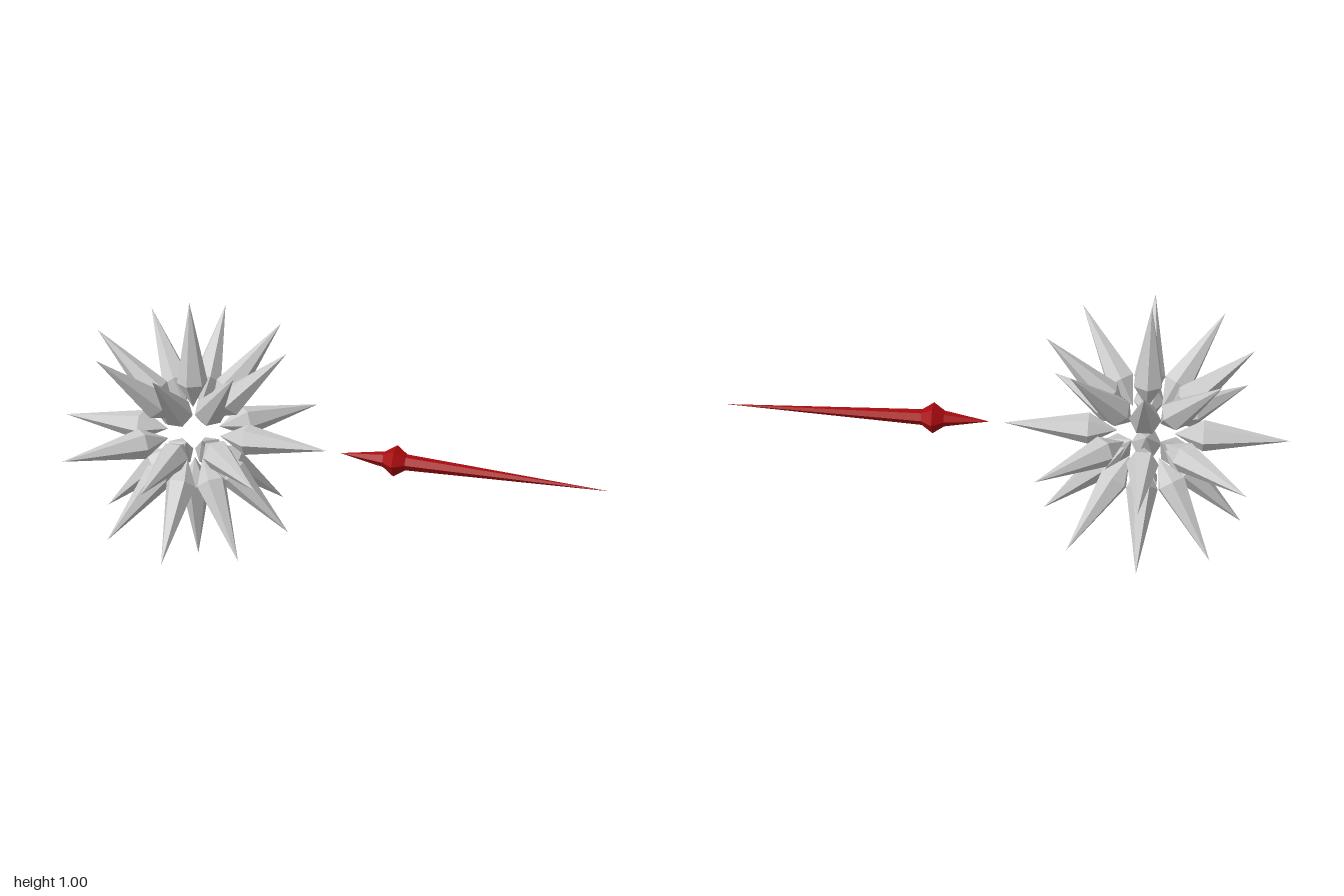
import * as THREE from 'three';

// Six-sided spike along +x from [distance, radius] pairs
function spikeGeometry(profile) {
  const points = profile.map(([along, radius]) => new THREE.Vector2(radius, along));
  return new THREE.LatheGeometry(points, 6).rotateZ(-Math.PI / 2);
}

export function createModel() {
  const model = new THREE.Group();
  const grey = new THREE.MeshStandardMaterial({ color: 0xcccccc, flatShading: true });
  const red = new THREE.MeshStandardMaterial({ color: 0xaa0a0e, flatShading: true });

  // Ball of floating crystal spikes around an empty centre
  const burst = new THREE.Group();
  burst.name = 'spikeBurst';
  burst.position.set(-0.5, 0.5, 0);
  const crystal = spikeGeometry([[0.1, 0], [0.2, 0.055], [0.5, 0]]);
  const addSpike = (name, longitude, latitude) => {
    const spike = new THREE.Mesh(crystal, grey);
    spike.name = name;
    spike.rotation.set(0, longitude, latitude, 'YZX');
    burst.add(spike);
  };
  const rings = [['lowerSpike', -1], ['middleSpike', 0], ['upperSpike', 1]];
  for (const [name, step] of rings) {
    for (let i = 0; i < 8; i++) addSpike(name, i * Math.PI / 4, step * Math.PI / 4);
  }
  addSpike('topSpike', 0, Math.PI / 2);
  addSpike('bottomSpike', 0, -Math.PI / 2);
  model.add(burst);

  // Long red dart with a flared collar
  const dart = new THREE.Mesh(
    spikeGeometry([[0.05, 0], [0.21, 0.028], [0.25, 0.055], [0.29, 0.028], [1, 0]]), red);
  dart.name = 'redDart';
  dart.position.y = 0.5;
  model.add(dart);

  return model;
}
